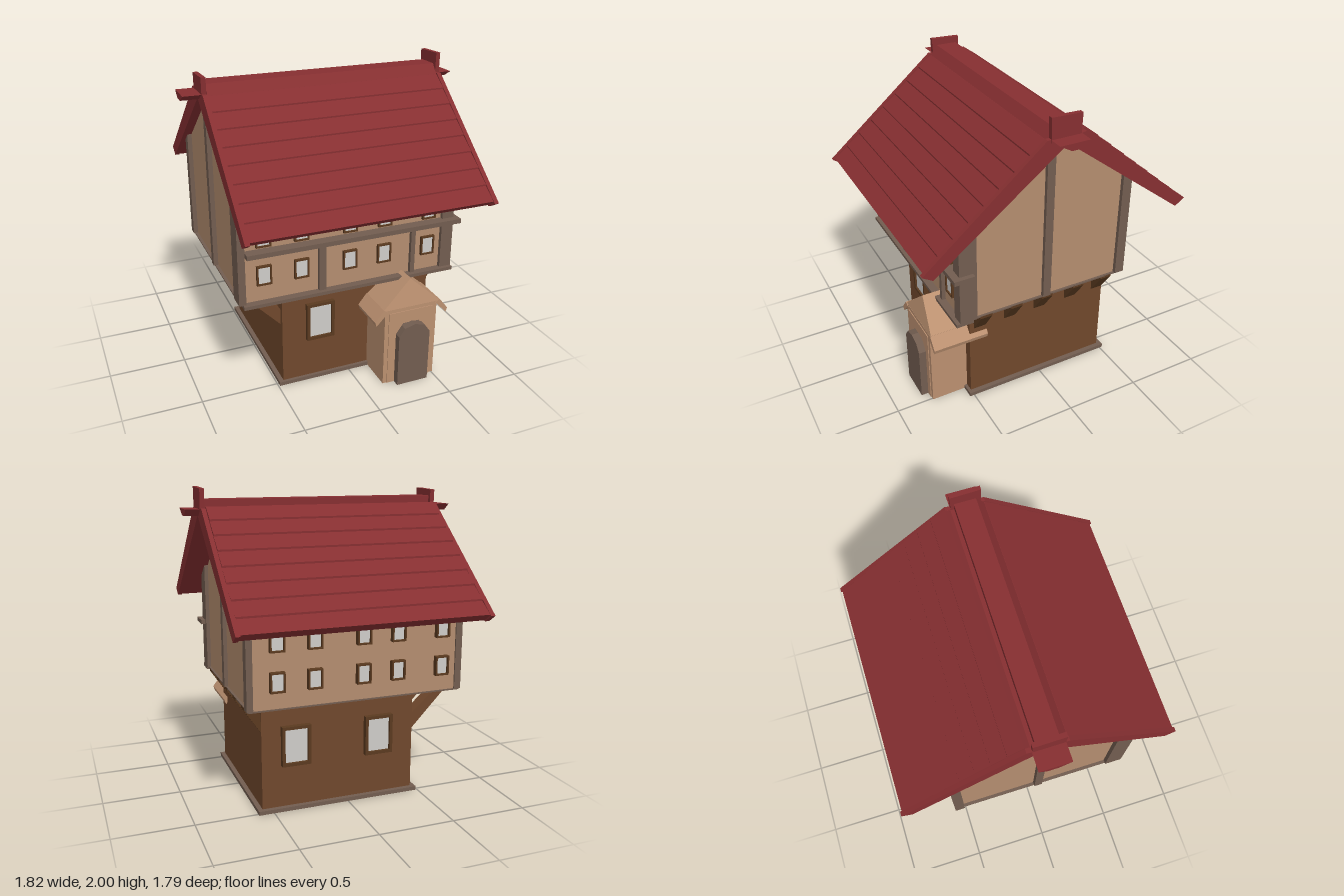
import * as THREE from 'three';

const mat = (name, color, side = THREE.FrontSide) => {
  const m = new THREE.MeshStandardMaterial({ color, side });
  m.name = name;
  return m;
};

export function createModel() {
  const house = new THREE.Group();
  house.name = 'timberHouse';
  const brown = mat('brown wall', 0x70482c, THREE.DoubleSide);
  const frameBrown = mat('dark brown frame', 0x5a3a20);
  const wood = mat('brown beam', 0x70482c);
  const tan = mat('tan plaster', 0xb48d6f);
  const porchTan = mat('porch tan', 0xbb9070, THREE.DoubleSide);
  const timber = mat('grey timber', 0x725d50);
  const red = mat('red roof', 0x862f31);
  const glass = mat('pale glass', 0xcfccc9);

  const add = (name, geo, m, parent = house) => {
    const mesh = new THREE.Mesh(geo, m);
    mesh.name = name;
    parent.add(mesh);
    return mesh;
  };
  // box given by its limits on each axis
  const box = (name, m, x0, x1, y0, y1, z0, z1) =>
    add(name, new THREE.BoxGeometry(x1 - x0, y1 - y0, z1 - z0)
      .translate((x0 + x1) / 2, (y0 + y1) / 2, (z0 + z1) / 2), m);
  const shapeOf = pts => new THREE.Shape(pts.map(p => new THREE.Vector2(p[0], p[1])));
  const extrude = (shape, depth) =>
    new THREE.ExtrudeGeometry(shape, { depth, bevelEnabled: false, curveSegments: 4 });
  // profile of [z, y] points drawn out along x
  const prismX = (name, m, pts, x0, x1) =>
    add(name, extrude(shapeOf(pts.map(([z, y]) => [-z, y])), x1 - x0)
      .rotateY(Math.PI / 2).translate(x0, 0, 0), m);
  // profile of [x, y] points drawn out along z
  const prismZ = (name, m, pts, z0, z1) =>
    add(name, extrude(shapeOf(pts), z1 - z0).translate(0, 0, z0), m);

  // ground floor: four open walls and a base trim
  const wallRing = (x0, x1, z0, z1, t) => {
    const s = shapeOf([[x0, -z0], [x1, -z0], [x1, -z1], [x0, -z1]]);
    s.holes.push(new THREE.Path([[x0 + t, -z0 - t], [x1 - t, -z0 - t], [x1 - t, -z1 + t], [x0 + t, -z1 + t]]
      .map(p => new THREE.Vector2(...p))));
    return s;
  };
  add('groundFloorWalls', extrude(wallRing(-0.46, 0.57, -0.49, 0.51, 0.01), 0.7).rotateX(-Math.PI / 2), brown);
  add('baseTrim', extrude(wallRing(-0.49, 0.6, -0.52, 0.53, 0.05), 0.025).rotateX(-Math.PI / 2), timber);

  // upper floor with gables
  const under = z => 1.825 - (z > 0 ? 0.772 : 0.752) * Math.abs(z) + 0.01;
  prismX('upperFloor', tan,
    [[-0.565, 0.7], [0.595, 0.7], [0.595, under(0.595)], [0, 1.83], [-0.565, under(-0.565)]], -0.735, 0.655);
  box('upperFloorUnderside', timber, -0.755, 0.67, 0.693, 0.702, -0.572, 0.6);
  box('frontSillBeam', timber, -0.74, 0.68, 0.68, 0.702, 0.53, 0.645);
  box('frontMiddleBeam', timber, -0.72, 0.71, 1.015, 1.045, 0.53, 0.665);

  // corner and gable posts, cut to the roof slope
  const post = (name, z0, z1, x0, x1) => {
    const pts = [[z0, 0.7], [z1, 0.7], [z1, under(z1)]];
    if (z0 * z1 < 0) pts.push([0, under(0)]);
    pts.push([z0, under(z0)]);
    prismX(name, timber, pts, x0, x1);
  };
  for (const [x0, x1, fx0, fx1] of [[-0.765, -0.72, -0.765, -0.72], [0.64, 0.68, 0.598, 0.68]]) {
    post('frontCornerPost', 0.505, 0.62, fx0, fx1);
    post('backCornerPost', -0.575, -0.51, x0, x1);
    post('gablePost', -0.012, 0.042, x0, x1);
  }
  box('frontPost', timber, -0.25, -0.205, 0.7, 1.02, 0.59, 0.62);
  box('frontPost', timber, 0.38, 0.41, 0.7, 1.02, 0.59, 0.62);

  // slanted braces under both side overhangs
  for (const z of [0.44, 0.225, 0.005, -0.23, -0.445]) {
    prismZ('leftBrace', frameBrown,
      [[0.56, 0.53], [0.575, 0.54], [0.67, 0.68], [0.67, 0.698], [0.6, 0.698], [0.56, 0.63]], z - 0.04, z + 0.04);
    prismZ('rightBrace', wood,
      [[-0.44, 0.41], [-0.44, 0.52], [-0.62, 0.68], [-0.62, 0.698], [-0.71, 0.698], [-0.7, 0.68]], z - 0.04, z + 0.04);
  }

  // framed windows
  const addWindow = (name, x, y, z, w, h, bar, depth, back) => {
    const g = new THREE.Group();
    g.name = name;
    const rect = (a, b) => [[-a, -b], [a, -b], [a, b], [-a, b]];
    const s = shapeOf(rect(w / 2, h / 2));
    s.holes.push(new THREE.Path(rect(w / 2 - bar, h / 2 - bar).map(p => new THREE.Vector2(...p))));
    add('windowFrame', extrude(s, depth), frameBrown, g);
    add('windowPane', new THREE.BoxGeometry(w - bar, h - bar, 0.008).translate(0, 0, depth * 0.4), glass, g);
    g.position.set(x, y, z);
    if (back) g.rotation.y = Math.PI;
    house.add(g);
  };
  for (const x of [-0.6, -0.36, -0.04, 0.195, 0.505]) {
    for (const y of [0.872, 1.122]) {
      addWindow('smallFrontWindow', x, y, 0.593, 0.094, 0.127, 0.01, 0.022, false);
      addWindow('smallBackWindow', -0.11 - x, y, -0.563, 0.094, 0.127, 0.01, 0.036, true);
    }
  }
  addWindow('largeFrontWindow', -0.205, 0.43, 0.508, 0.19, 0.26, 0.02, 0.03, false);
  for (const x of [0.35, -0.21]) addWindow('largeBackWindow', x, 0.43, -0.488, 0.19, 0.26, 0.02, 0.037, true);

  // roof: stepped tile rows between barge boards
  const tileRows = (eave, top, lift) => {
    const pts = [];
    const rows = 8;
    for (let i = 0; i < rows; i++) {
      for (const [t, up] of [[i / rows, lift], [(i + 1) / rows, 0]]) {
        pts.push([eave[0] + (top[0] - eave[0]) * t, eave[1] + (top[1] - eave[1]) * t + up]);
      }
    }
    return pts;
  };
  prismX('frontRoof', red,
    [[0.83, 1.192], ...tileRows([0.885, 1.225], [0.13, 1.862], 0.01), [0.0, 1.87], [0, 1.828]], -0.766, 0.787);
  prismX('backRoof', red,
    [[-0.825, 1.206], ...tileRows([-0.885, 1.24], [-0.12, 1.885], 0.012), [-0.06, 1.835], [0, 1.828]], -0.766, 0.787);
  for (const [x0, x1] of [[-0.795, -0.765], [0.786, 0.815]]) {
    prismX('frontBargeBoard', red, [[0.9, 1.225], [0.835, 1.185], [0, 1.825], [0.03, 1.87], [0.135, 1.87]], x0, x1);
    prismX('backBargeBoard', red, [[-0.895, 1.245], [-0.83, 1.2], [0, 1.825], [-0.03, 1.86], [-0.115, 1.875]], x0, x1);
  }

  // ridge: capping, projecting beam and upright end plates
  prismX('ridgeCap', red, [[0.13, 1.86], [0.08, 1.925], [-0.06, 1.925], [-0.06, 1.82], [0, 1.83]], -0.765, 0.786);
  prismX('ridgeBeam', red, [[0.112, 1.868], [-0.085, 1.868], [-0.03, 1.825], [0.035, 1.825]], -0.91, 0.905);
  for (const [x0, x1, y] of [[-0.796, -0.766, 1.972], [0.787, 0.816, 2]]) {
    prismX('ridgeEndPlate', red, [[0.115, y], [-0.085, y - 0.007], [-0.08, 1.85], [0.11, 1.85]], x0, x1);
  }

  // porch walls, open below
  const porchWalls = [[0.14, 0.54], [0.14, 0], [0.22, 0], [0.22, 0.36], [0.27, 0.43], [0.38, 0.43], [0.44, 0.36],
    [0.44, 0], [0.51, 0], [0.51, 0.54]];
  prismZ('porchFront', porchTan, porchWalls, 0.74, 0.758);
  box('porchSide', porchTan, 0.14, 0.155, 0, 0.54, 0.4, 0.745);
  box('porchSide', porchTan, 0.495, 0.51, 0, 0.54, 0.4, 0.745);
  prismZ('porchFrontPanel', porchTan,
    porchWalls.map(([x, y]) => [x === 0.14 ? 0.168 : x === 0.51 ? 0.482 : x, y === 0.54 ? 0.515 : y]), 0.757, 0.763);

  // porch roof: peak leans back from the front edge, flared eaves on each side
  const porchRoof = prismZ('porchRoof', porchTan, [[0.12, 0.535], [0.54, 0.535], [0.33, 0.72]], 0.5, 0.758);
  const p = porchRoof.geometry.attributes.position;
  for (let i = 0; i < p.count; i++) if (p.getY(i) > 0.7 && p.getZ(i) > 0.7) p.setZ(i, 0.72);
  porchRoof.geometry.computeVertexNormals();
  for (const s of [-1, 1]) {
    const cx = 0.33;
    prismZ('porchEave', porchTan, [[0.17, 0.53], [0.2, 0.55], [0.26, 0.475], [0.25, 0.445]]
      .map(([x, y]) => [cx + s * x, y]), 0.39, 0.762);
  }

  // arched door
  const door = new THREE.Shape();
  door.moveTo(0.22, 0);
  door.lineTo(0.44, 0);
  door.lineTo(0.44, 0.36);
  door.bezierCurveTo(0.42, 0.46, 0.24, 0.46, 0.22, 0.36);
  door.lineTo(0.22, 0);
  add('door', extrude(door, 0.27).translate(0, 0, 0.54), timber);

  return house;
}
